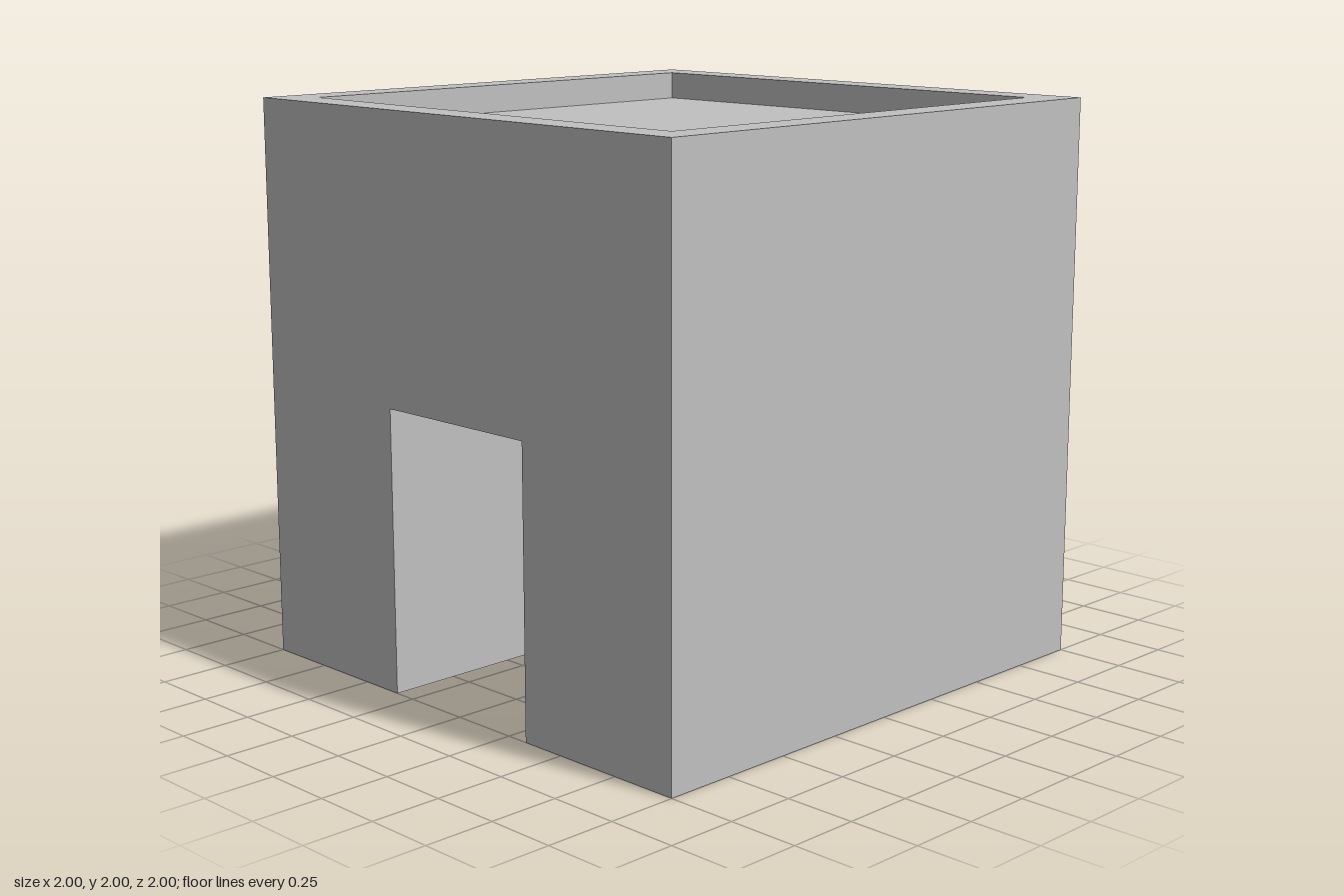
import * as THREE from 'three';

const HALF = 1, HEIGHT = 2;
const DOOR = { half: 0.333, height: 1, back: 0.2 };
const ROOF = { half: 0.867, y: 1.9 };
const Q = Math.PI / 2;

const polygon = (points) => new THREE.Shape(points.map(([x, y]) => new THREE.Vector2(x, y)));
const rect = (x0, y0, x1, y1) => polygon([[x0, y0], [x1, y0], [x1, y1], [x0, y1]]);

export function createModel() {
  const model = new THREE.Group();
  model.name = 'block';
  const grey = new THREE.MeshStandardMaterial({ color: 0xc0c0c0 });
  grey.name = 'light grey';

  // One flat face: a shape facing +z, turned and moved into place
  function face(parent, name, shape, rotation, position) {
    const mesh = new THREE.Mesh(new THREE.ShapeGeometry(shape), grey);
    mesh.name = name;
    mesh.rotation.set(...rotation);
    mesh.position.set(...position);
    parent.add(mesh);
  }
  function part(name) {
    const group = new THREE.Group();
    group.name = name;
    model.add(group);
    return group;
  }

  // Outer walls, the front one notched for the doorway
  const walls = part('outerWalls');
  const d = DOOR.half;
  face(walls, 'frontWall', polygon([
    [-HALF, 0], [-d, 0], [-d, DOOR.height], [d, DOOR.height],
    [d, 0], [HALF, 0], [HALF, HEIGHT], [-HALF, HEIGHT],
  ]), [0, 0, 0], [0, 0, HALF]);
  const wall = rect(-HALF, 0, HALF, HEIGHT);
  face(walls, 'backWall', wall, [0, 2 * Q, 0], [0, 0, -HALF]);
  face(walls, 'leftWall', wall, [0, Q, 0], [HALF, 0, 0]);
  face(walls, 'rightWall', wall, [0, -Q, 0], [-HALF, 0, 0]);

  // Underside, open where the doorway is
  face(model, 'underside', polygon([
    [-HALF, -HALF], [HALF, -HALF], [HALF, HALF], [d, HALF],
    [d, DOOR.back], [-d, DOOR.back], [-d, HALF], [-HALF, HALF],
  ]), [Q, 0, 0], [0, 0, 0]);

  // Doorway recess
  const doorway = part('doorway');
  const cheek = rect(-(HALF - DOOR.back) / 2, 0, (HALF - DOOR.back) / 2, DOOR.height);
  for (const side of [-1, 1]) {
    face(doorway, side > 0 ? 'leftCheek' : 'rightCheek', cheek,
      [0, -side * Q, 0], [side * d, 0, (HALF + DOOR.back) / 2]);
  }
  face(doorway, 'doorwayBack', rect(-d, 0, d, DOOR.height), [0, 0, 0], [0, 0, DOOR.back]);
  face(doorway, 'doorwayCeiling', rect(-d, DOOR.back, d, HALF), [Q, 0, 0], [0, DOOR.height, 0]);

  // Parapet rim around the sunken roof
  const roof = part('roof');
  const r = ROOF.half;
  const rim = rect(-HALF, -HALF, HALF, HALF);
  rim.holes.push(rect(-r, -r, r, r));
  face(roof, 'parapetTop', rim, [-Q, 0, 0], [0, HEIGHT, 0]);
  face(roof, 'roofFloor', rect(-r, -r, r, r), [-Q, 0, 0], [0, ROOF.y, 0]);
  for (let i = 0; i < 4; i++) {
    const a = i * Q;
    face(roof, 'parapetInside', rect(-r, ROOF.y, r, HEIGHT),
      [0, a, 0], [-r * Math.sin(a), 0, -r * Math.cos(a)]);
  }
  return model;
}
